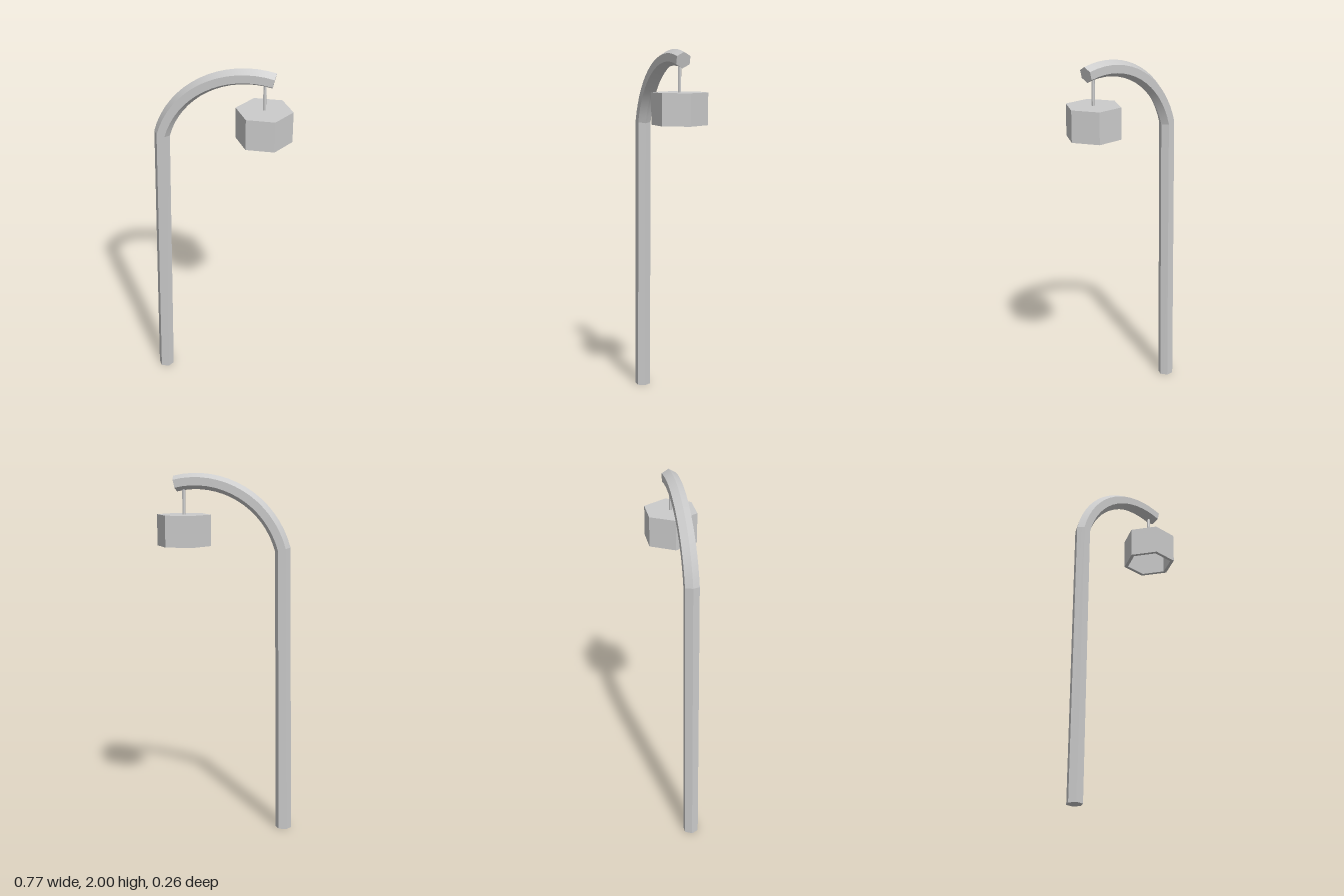
import * as THREE from 'three';

const SIDES = 6;
const POLE_R = 0.044;
const ARC = { x: 0.16, y: 1.46, r: 0.497, from: Math.PI - 0.265, to: Math.PI / 2 - 0.242 };

// Hexagonal ring around (x, y), with one corner pointing along (nx, ny)
function ring(x, y, nx, ny) {
  return Array.from({ length: SIDES }, (_, i) => {
    const a = (i / SIDES) * Math.PI * 2;
    const n = POLE_R * Math.cos(a);
    return [x + nx * n, y + ny * n, POLE_R * Math.sin(a)];
  });
}

// One strip of faces per side: smooth along the length, sharp across the corners
function sweep(rings, capStart, capEnd) {
  const pos = [];
  const idx = [];
  for (let s = 0; s < SIDES; s++) {
    const base = pos.length / 3;
    rings.forEach((r, j) => {
      pos.push(...r[s], ...r[(s + 1) % SIDES]);
      if (j === 0) return;
      const a = base + (j - 1) * 2;
      idx.push(a, a + 1, a + 3, a, a + 3, a + 2);
    });
  }
  const cap = (r, flip) => {
    const base = pos.length / 3;
    r.forEach((p) => pos.push(...p));
    for (let i = 1; i < SIDES - 1; i++) {
      if (flip) idx.push(base, base + i + 1, base + i);
      else idx.push(base, base + i, base + i + 1);
    }
  };
  if (capStart) cap(rings[0], true);
  if (capEnd) cap(rings[rings.length - 1], false);
  const geo = new THREE.BufferGeometry();
  geo.setAttribute('position', new THREE.Float32BufferAttribute(pos, 3));
  geo.setIndex(idx);
  geo.computeVertexNormals();
  return geo;
}

export function createModel() {
  const group = new THREE.Group();
  const smooth = new THREE.MeshStandardMaterial({ color: 0xcccccc });
  const flat = new THREE.MeshStandardMaterial({ color: 0xcccccc, flatShading: true });
  const add = (name, geo, mat, x = 0, y = 0) => {
    const mesh = new THREE.Mesh(geo, mat);
    mesh.name = name;
    mesh.position.set(x, y, 0);
    group.add(mesh);
  };

  // Curved arm
  const steps = 16;
  const armRings = [];
  for (let i = 0; i <= steps; i++) {
    const a = THREE.MathUtils.lerp(ARC.from, ARC.to, i / steps);
    const c = Math.cos(a);
    const s = Math.sin(a);
    armRings.push(ring(ARC.x + ARC.r * c, ARC.y + ARC.r * s, c, s));
  }
  add('curvedArm', sweep(armRings, false, true), smooth);

  // Slightly leaning post, meeting the arm's first ring
  add('post', sweep([ring(-0.34, 0, -1, 0), armRings[0]], true, false), smooth);

  // Thin rod holding the lamp
  add('hangingRod', new THREE.CylinderGeometry(0.009, 0.009, 0.17, SIDES), flat, 0.23, 1.845);

  // Hollow hexagonal shade, open at the bottom
  const profile = [[0, 0.15], [0.13, 0.15], [0.13, 0], [0.152, 0], [0.152, 0.172], [0, 0.172]]
    .map(([r, y]) => new THREE.Vector2(r, y));
  add('lampShade', new THREE.LatheGeometry(profile, SIDES, Math.PI / 2), flat, 0.23, 1.603);

  return group;
}
